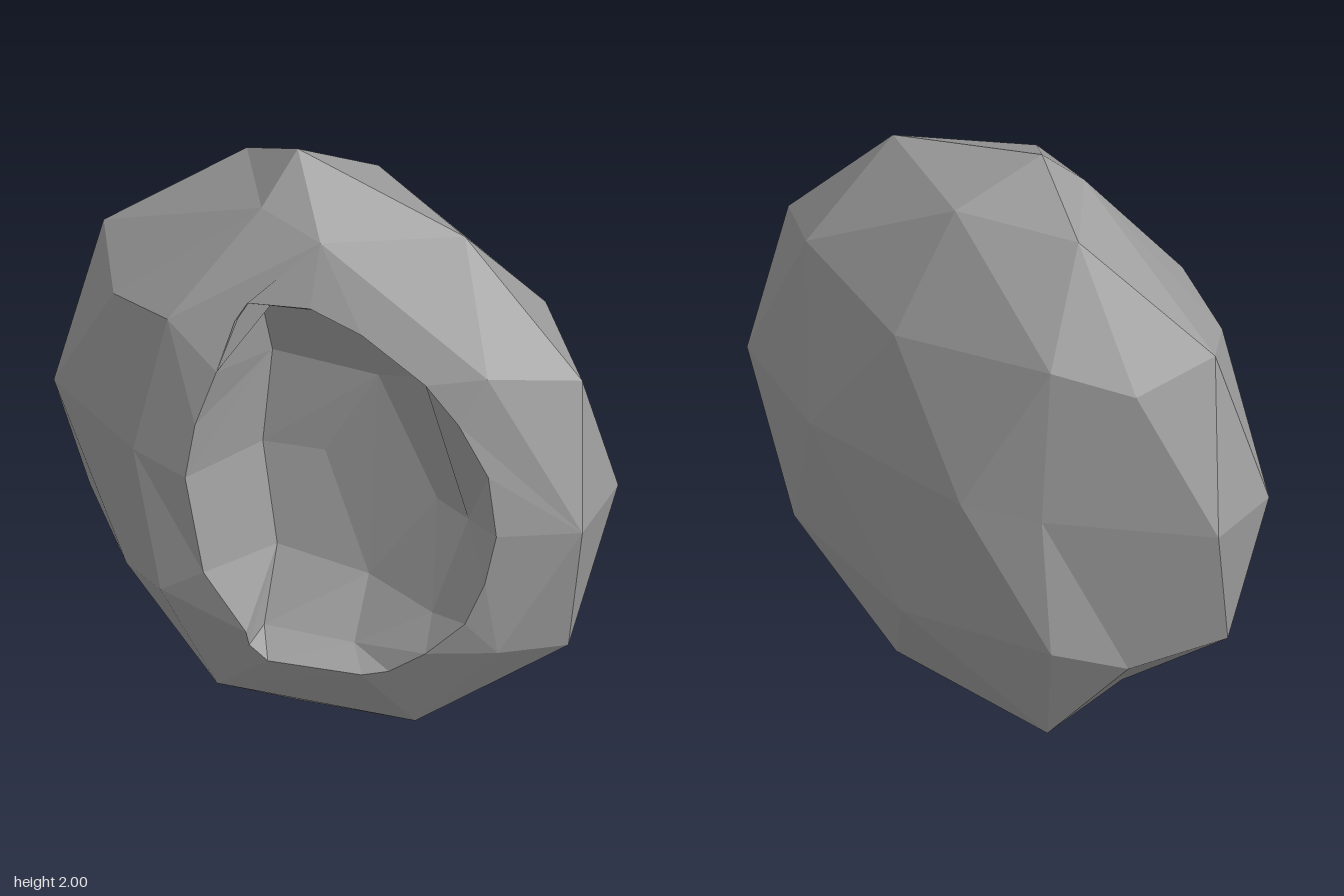
import * as THREE from 'three';

const V = (x, y, z) => new THREE.Vector3(x, y, z);
const CENTRE = { x: 0.15, y: 1 }; // middle of the hollow, used to order loops
const angle = (p) => Math.atan2(p.y - CENTRE.y, p.x - CENTRE.x);
const sortLoop = (loop) => [...loop].sort((a, b) => angle(a) - angle(b));

// Corners of the rock that are dented away from the regular ball: [ball x, y, z, new x, y, z]
const DENTS = [
  [-0.545, 1.85, 0.134, -0.175, 1.86, 0.14],
  [-0.545, 1.85, -0.114, -0.335, 1.85, -0.11],
  [-0.708, 1, -0.314, -0.36, 1, -0.325],
  [-0.708, 1, 0.334, -0.49, 1.02, 0.334],
  [-0.646, 0.15, 0.01, -0.4, 0.27, 0.01],
];

// Outline of the hollow's mouth
const MOUTH = [
  [0.615, 1], [0.585, 1.2], [0.5, 1.37], [0.4, 1.49], [0.2, 1.61], [0.04, 1.66],
  [-0.15, 1.63], [-0.18, 1.57], [-0.22, 1.4], [-0.28, 1.2], [-0.31, 1], [-0.255, 0.67],
  [-0.14, 0.46], [-0.14, 0.4], [-0.09, 0.345], [0.2, 0.38], [0.28, 0.41], [0.4, 0.52],
  [0.52, 0.66], [0.58, 0.82],
];

// Foot of the hollow's wall, then the deepest ring of its floor
const FOOT = [
  [0.48, 0.95, 0.15], [0.36, 1.45, 0.18], [0.1, 1.61, 0.2], [-0.14, 1.6, 0.22], [-0.145, 1.35, 0.13],
  [-0.18, 1, 0.12], [-0.13, 0.65, 0.13], [-0.13, 0.42, 0.22], [0.14, 0.42, 0.19], [0.38, 0.6, 0.18],
];
const FLOOR = [[0.36, 0.95, 0.1], [0.17, 1.33, 0.09], [0, 1, 0.085], [0.14, 0.6, 0.09]];

// Squashed, dented ball as a list of triangles
function rockTriangles() {
  const phi = (1 + Math.sqrt(5)) / 2;
  const pos = new THREE.IcosahedronGeometry(1, 1)
    .rotateZ(-Math.atan(1 / phi)).scale(1, 1, 0.4).translate(-0.12, 1, 0.01).attributes.position;
  const tris = [];
  for (let i = 0; i < pos.count; i++) {
    const p = new THREE.Vector3().fromBufferAttribute(pos, i);
    const dent = DENTS.find(([x, y, z]) => p.distanceTo(V(x, y, z)) < 0.03);
    if (dent) p.set(...dent.slice(3));
    else if (p.x < -0.69) p.add(V(0.24, 0.02, 0));
    if (i % 3 === 0) tris.push([]);
    tris[tris.length - 1].push(p);
  }
  return tris;
}

// Depth of a set of triangles at x, y
function depthAt(tris, x, y) {
  const bary = new THREE.Vector3();
  for (const t of tris) {
    const flat = t.map((p) => V(p.x, p.y, 0));
    if (!THREE.Triangle.getBarycoord(V(x, y, 0), ...flat, bary)) continue;
    if (Math.min(bary.x, bary.y, bary.z) > -1e-4) {
      return t[0].z * bary.x + t[1].z * bary.y + t[2].z * bary.z;
    }
  }
  return 0.27;
}

// Joins an outer loop to an inner one, both counter-clockwise
function bridge(outer, inner) {
  const tris = [];
  const n = outer.length, m = inner.length;
  const turn = (loop, i) => angle(loop[i % loop.length]) + Math.floor(i / loop.length) * 2 * Math.PI;
  let i = 0, j = 0;
  while (i < n || j < m) {
    const a = outer[i % n], b = inner[j % m];
    const stepOuter = j >= m || (i < n && turn(outer, i + 1) <= turn(inner, j + 1));
    if (stepOuter) tris.push([a, outer[++i % n], b]);
    else tris.push([a, inner[++j % m], b]);
  }
  return tris;
}

export function createModel() {
  const group = new THREE.Group();
  group.name = 'hollowRock';
  const stone = new THREE.MeshStandardMaterial({ color: 0xa0a0a0, flatShading: true });
  stone.name = 'grey stone';

  const add = (name, tris) => {
    const geometry = new THREE.BufferGeometry().setFromPoints(tris.flat());
    geometry.computeVertexNormals();
    const mesh = new THREE.Mesh(geometry, stone);
    mesh.name = name;
    group.add(mesh);
  };

  // Outer shell, with the front facets around the hollow taken out
  const inMouth = (p) => p.z > 0.3 && p.x > -0.2;
  const all = rockTriangles();
  const removed = all.filter((t) => t.some(inMouth));
  add('outerShell', all.filter((t) => !t.some(inMouth)));

  // Front face between the shell and the mouth of the hollow
  const border = [];
  for (const p of removed.flat()) {
    if (!inMouth(p) && !border.some((q) => q.distanceTo(p) < 0.01)) border.push(p);
  }
  const mouth = sortLoop(MOUTH.map(([x, y]) => V(x, y, depthAt(removed, x, y))));
  add('frontRim', bridge(sortLoop(border), mouth));

  // Hollow
  const foot = sortLoop(FOOT.map((p) => V(...p)));
  const floor = sortLoop(FLOOR.map((p) => V(...p)));
  add('hollowWall', bridge(mouth, foot));
  add('hollowFloor', [
    ...bridge(foot, floor),
    [floor[0], floor[1], floor[2]],
    [floor[0], floor[2], floor[3]],
  ]);
  return group;
}
